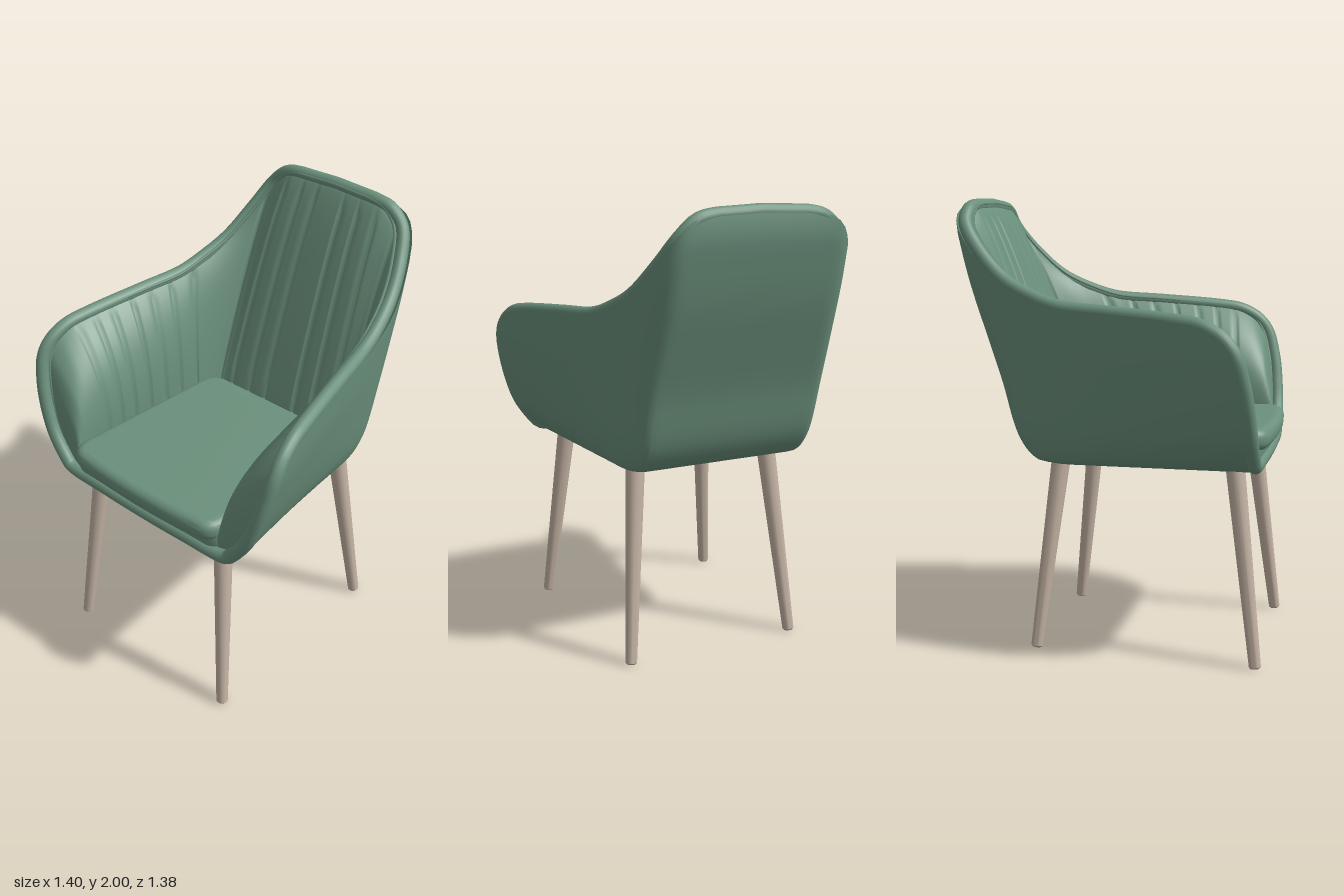
import * as THREE from 'three';
import { toCreasedNormals } from 'three/addons/utils/BufferGeometryUtils.js';

const fabric = new THREE.MeshStandardMaterial({ color: 0x6b907c, side: THREE.DoubleSide });
fabric.name = 'green fabric';
const wood = new THREE.MeshStandardMaterial({ color: 0xc4b3a4 });
wood.name = 'pale wood';

// shell plan at each height: [y, front half width, back half width, back z, corner size]
const LEVELS = [
  [0.845, 0.40, 0.38, -0.27, 0.14], [0.865, 0.47, 0.425, -0.33, 0.16], [0.92, 0.54, 0.445, -0.385, 0.2],
  [1.0, 0.6, 0.455, -0.425, 0.22], [1.2, 0.675, 0.465, -0.48, 0.24], [1.4, 0.72, 0.47, -0.55, 0.29],
  [1.6, 0.73, 0.475, -0.62, 0.34], [1.75, 0.7, 0.475, -0.66, 0.34], [1.9, 0.68, 0.47, -0.688, 0.34],
  [1.97, 0.66, 0.46, -0.68, 0.34],
];
// rim height from the front of an arm (0) to the middle of the back (1)
const RIM = [
  [0, 0.915], [0.006, 1.1], [0.017, 1.25], [0.044, 1.4], [0.09, 1.475], [0.145, 1.51], [0.37, 1.545],
  [0.5, 1.56], [0.55, 1.585], [0.58, 1.615], [0.62, 1.69], [0.65, 1.765], [0.7, 1.885], [0.75, 1.96],
  [0.8, 1.988], [1, 2.0],
];
const GROOVES = [0.14, 0.2, 0.26, 0.33, 0.4, 0.47, 0.55, 0.7, 0.786, 0.864, 0.936];

// smooth, monotone interpolation of column k of a table
function curve(table, x, k = 1) {
  const n = table.length - 1;
  x = THREE.MathUtils.clamp(x, table[0][0], table[n][0]);
  let i = 0;
  while (i < n - 1 && x > table[i + 1][0]) i++;
  const secant = (j) => (table[j + 1][k] - table[j][k]) / (table[j + 1][0] - table[j][0]);
  const slope = (j) => {
    if (j === 0) return secant(0);
    if (j === n) return secant(n - 1);
    const a = secant(j - 1), b = secant(j);
    return a * b > 0 ? (2 * a * b) / (a + b) : 0;
  };
  const h = table[i + 1][0] - table[i][0], u = (x - table[i][0]) / h, w = 1 - u;
  return w * w * (1 + 2 * u) * table[i][k] + u * u * (3 - 2 * u) * table[i + 1][k]
    + h * u * w * (w * slope(i) - u * slope(i + 1));
}

// half of the U-shaped plan: straight arm, rounded corner, straight back
function planPoint(t, y, wf, wb, zb, r, zf) {
  const front = new THREE.Vector3(wf, y, zf), corner = new THREE.Vector3(wb, y, zb);
  const a = corner.clone().lerp(front, r / (zf - zb));
  const b = new THREE.Vector3(wb - r * 0.36, y, zb);
  if (t < 0.55) return front.lerp(a, t / 0.55);
  if (t > 0.75) return b.lerp(new THREE.Vector3(0, y, zb), (t - 0.75) / 0.25);
  return new THREE.QuadraticBezierCurve3(a, corner, b).getPoint((t - 0.55) / 0.2);
}

function shellPoint(t, y, inset) {
  const [wf, wb, zb, r] = [1, 2, 3, 4].map((k) => curve(LEVELS, y, k));
  return planPoint(t, y, wf - inset, wb - inset, zb + inset, r, 0.66 - Math.max(inset, 0.025));
}
const rimPoint = (t, inset, drop = 0.03) => {
  const p = shellPoint(t, curve(RIM, t) - 0.03, inset);
  p.y += 0.03 - drop;
  return p;
};

// columns run from the left arm round the back to the right arm
function wholeU(half) {
  return [...half.map((t) => [t, 1]), ...half.slice(0, -1).reverse().map((t) => [t, -1])];
}
const mirrored = (p, side) => { p.x *= side; return p; };

function gridSurface(columns, flip) {
  const rows = columns[0].length, index = [];
  for (let i = 0; i < columns.length - 1; i++) {
    for (let j = 0; j < rows - 1; j++) {
      const a = i * rows + j, b = a + 1, c = a + rows, d = c + 1;
      if (flip) index.push(a, c, b, b, c, d);
      else index.push(a, b, c, b, d, c);
    }
  }
  const g = new THREE.BufferGeometry().setFromPoints(columns.flat());
  g.setIndex(index);
  g.computeVertexNormals();
  return g;
}

// rounded trapezoid slab lying flat
function slab(front, back, zFront, zBack, bow, y, depth, bevel) {
  const f = front - bevel, b = back - bevel, z0 = zFront - bevel, z1 = zBack + bevel, r = 0.06;
  const s = new THREE.Shape();
  s.moveTo(-f + r, -z0 + bow);
  s.quadraticCurveTo(0, -z0 - bow, f - r, -z0 + bow);
  s.quadraticCurveTo(f, -z0 + bow, f, -z0 + bow + r);
  s.lineTo(b, -z1 - r);
  s.quadraticCurveTo(b, -z1, b - r, -z1);
  s.lineTo(-b + r, -z1);
  s.quadraticCurveTo(-b, -z1, -b, -z1 - r);
  s.lineTo(-f, -z0 + bow + r);
  s.quadraticCurveTo(-f, -z0 + bow, -f + r, -z0 + bow);
  const g = new THREE.ExtrudeGeometry(s, {
    depth: depth - 2 * bevel, bevelSize: bevel, bevelThickness: bevel, bevelSegments: 6, curveSegments: 10,
  });
  g.rotateX(-Math.PI / 2).translate(0, y + bevel, 0);
  return toCreasedNormals(g, 0.7);
}

export function createModel() {
  const model = new THREE.Group();
  const add = (name, geometry, material) => {
    const mesh = new THREE.Mesh(geometry, material);
    mesh.name = name;
    model.add(mesh);
  };

  const even = Array.from({ length: 81 }, (_, i) => (i / 80) ** 2);
  const grooved = even.filter((t) => GROOVES.every((g) => Math.abs(t - g) > 0.012))
    .concat(GROOVES.flatMap((g) => [g - 0.009, g, g + 0.009])).sort((a, b) => a - b);

  // outer shell, closed underneath
  const ROWS = 30;
  add('outerShell', gridSurface(wholeU(even).map(([t, side]) => {
    const top = curve(RIM, t) - 0.03, column = [];
    for (let j = 0; j <= ROWS; j++) {
      const y = 0.845 + (top - 0.845) * (1 - j / ROWS) ** 1.7;
      column.push(mirrored(shellPoint(t, y, 0), side));
    }
    const edge = column[ROWS], centre = new THREE.Vector3(0, 0.842, 0.635);
    for (const f of [0.1, 0.5, 1]) column.push(edge.clone().lerp(centre, f));
    return column;
  }), false), fabric);

  // padded lining with stitched channels, plump on the arms and flatter on the back
  add('innerPadding', gridSurface(wholeU(grooved).map(([t, side]) => {
    const rim = rimPoint(t, 0.05), seat = planPoint(t, 0.94, 0.42, 0.385, -0.25, 0.13, 0.63);
    const depth = GROOVES.includes(t) ? 0.014 : 0, column = [];
    const flatness = THREE.MathUtils.smoothstep(t, 0.5, 0.72);
    for (let j = 0; j <= 28; j++) {
      const v = (j / 28) ** 1.5, h = THREE.MathUtils.lerp(1 - (1 - v) ** 3, v ** 0.8, flatness);
      const p = new THREE.Vector3(
        THREE.MathUtils.lerp(rim.x, seat.x, h), THREE.MathUtils.lerp(rim.y, seat.y, v),
        THREE.MathUtils.lerp(rim.z, seat.z, h));
      const out = new THREE.Vector3(p.x, 0, p.z - 0.2).normalize();
      p.addScaledVector(out, depth * Math.min(1, 4 * Math.sin(Math.PI * v)));
      column.push(mirrored(p, side));
    }
    return column;
  }), true), fabric);

  // rolled rim, continuing across the front edge
  const coarse = Array.from({ length: 33 }, (_, i) => (i / 32) ** 2);
  const rim = wholeU(coarse).map(([t, side]) => mirrored(rimPoint(t, 0.03), side));
  for (const x of [-0.25, 0, 0.25]) rim.push(new THREE.Vector3(x, x ? 0.877 : 0.872, 0.635));
  add('rolledRim', new THREE.TubeGeometry(new THREE.CatmullRomCurve3(rim, true), 260, 0.031, 14, true), fabric);

  // piping inside the rim
  const piping = wholeU(coarse).map(([t, side]) => mirrored(rimPoint(t, 0.055, 0.022), side));
  add('piping', new THREE.TubeGeometry(new THREE.CatmullRomCurve3(piping), 240, 0.008, 6), fabric);

  // seat
  add('seatBase', slab(0.44, 0.4, 0.65, -0.29, 0.005, 0.87, 0.1, 0.02), fabric);
  add('seatCushion', slab(0.43, 0.375, 0.695, -0.215, 0.015, 0.935, 0.095, 0.04), fabric);

  // tapered splayed legs: [name, top x, foot x, top z, foot z]
  const legs = [
    ['frontLeftLeg', 0.372, 0.45, 0.535, 0.642], ['frontRightLeg', -0.365, -0.442, 0.535, 0.642],
    ['backLeftLeg', 0.372, 0.45, -0.245, -0.348], ['backRightLeg', -0.282, -0.36, -0.245, -0.348],
  ];
  for (const [name, tx, fx, tz, fz] of legs) {
    const top = new THREE.Vector3(tx, 0.88, tz), foot = new THREE.Vector3(fx, 0.005, fz);
    const axis = top.clone().sub(foot), length = axis.length();
    const profile = [[0, 0], [0.02, 0], [0.026, 0.007], [0.042, length], [0, length]];
    const g = toCreasedNormals(new THREE.LatheGeometry(profile.map((p) => new THREE.Vector2(...p)), 24), 0.6);
    g.applyQuaternion(new THREE.Quaternion().setFromUnitVectors(new THREE.Vector3(0, 1, 0), axis.normalize()));
    g.translate(foot.x, foot.y, foot.z);
    add(name, g, wood);
  }
  return model;
}
